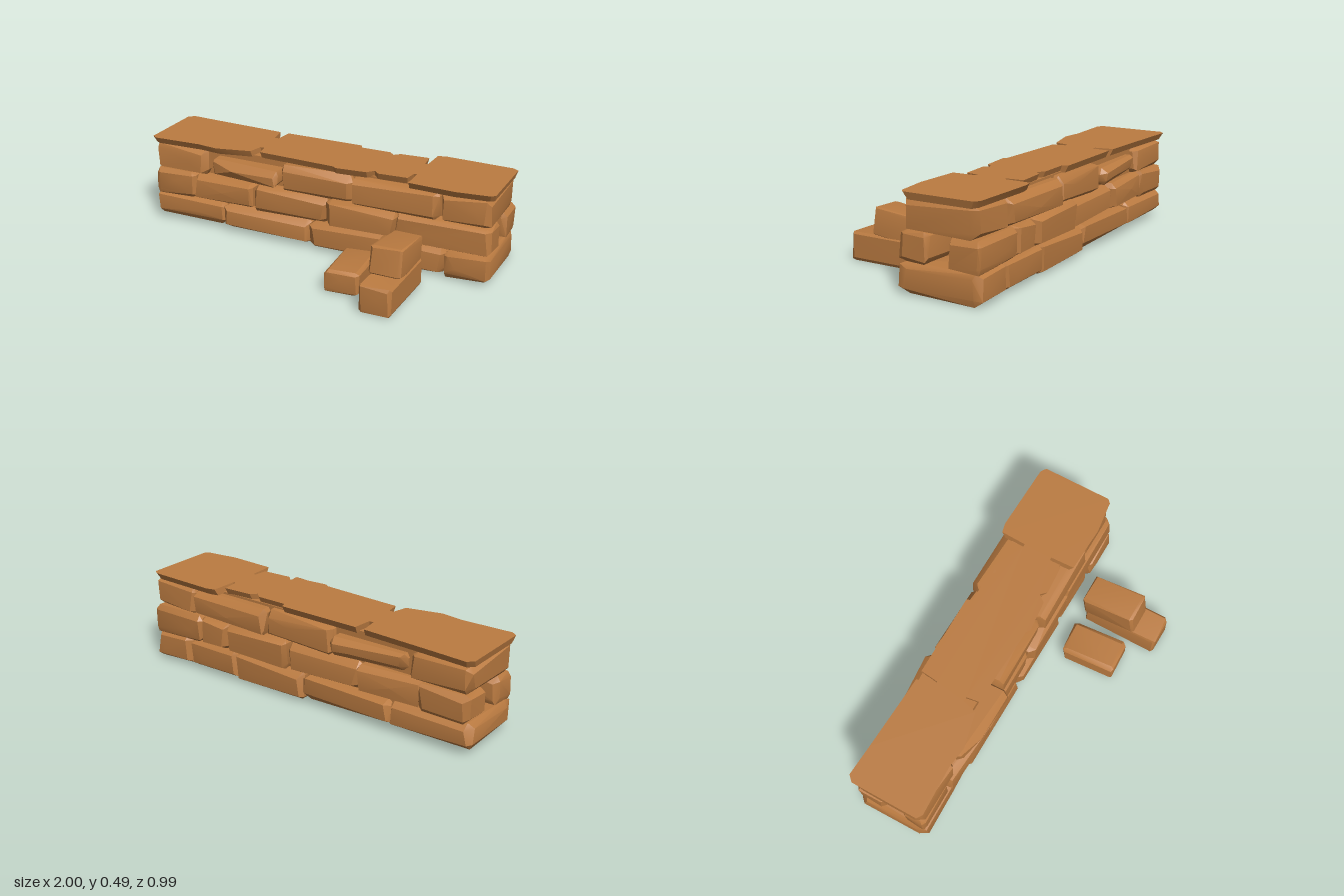
import * as THREE from 'three';
import { ConvexGeometry } from 'three/addons/geometries/ConvexGeometry.js';
import { toCreasedNormals } from 'three/addons/utils/BufferGeometryUtils.js';

const sandstone = new THREE.MeshStandardMaterial({ color: 0xbb7b41 });
sandstone.name = 'sandstone';

// Small seeded generator, 0..1
let seed = 7;
const rand = () => (seed = (seed * 16807) % 2147483647) / 2147483647;

// Rough-hewn stone: a box with uneven chamfers and bulging long sides;
// cut is the chamfer along x, y, z and flare deepens the stone towards +x
function stone(name, [x0, x1, y0, y1, z0, z1, flare = 0], cut) {
  const c = [(x0 + x1) / 2, (y0 + y1) / 2, (z0 + z1) / 2];
  const h = [(x1 - x0) / 2, (y1 - y0) / 2, (z1 - z0) / 2];
  const points = [];
  for (const sx of [-1, 1]) for (const sy of [-1, 1]) for (const sz of [-1, 1]) {
    const s = [sx, sy, sz];
    for (let face = 0; face < 3; face++) {
      const p = s.map((sign, i) => {
        const inset = i === face ? rand() * cut[i] * 0.2 : cut[i] * (0.35 + 0.65 * rand());
        const size = i === 2 ? h[i] * (1 + flare * (sx - 1)) : h[i];
        return c[i] + sign * (size - inset);
      });
      points.push(new THREE.Vector3(...p));
    }
  }
  for (const sz of [-1, 1]) {
    const x = c[0] + h[0] * (rand() - 0.5), y = c[1] + h[1] * (rand() - 0.5) * 0.6;
    points.push(new THREE.Vector3(x, y, c[2] + sz * h[2] * (1 - flare * 0.6)));
  }
  const mesh = new THREE.Mesh(toCreasedNormals(new ConvexGeometry(points), 0.45), sandstone);
  mesh.name = name;
  return mesh;
}

export function createModel() {
  seed = 7;
  const model = new THREE.Group();
  model.name = 'ruinedStoneWall';

  // Courses of the wall, each stone as [x0, x1, y0, y1, back z, front z, flare]
  const courses = {
    bottomCourse: [
      [-1, -0.54, 0.025, 0.165, -0.465, -0.055],
      [-0.55, -0.01, 0.018, 0.16, -0.465, -0.045],
      [-0.02, 0.43, 0, 0.165, -0.475, -0.035],
      [0.42, 0.76, 0, 0.16, -0.48, -0.04],
      [0.75, 1, 0, 0.16, -0.487, -0.02],
    ],
    middleCourse: [
      [-0.99, -0.73, 0.155, 0.31, -0.2, -0.055],
      [-0.99, -0.7, 0.155, 0.31, -0.465, -0.29],
      [-0.74, -0.35, 0.16, 0.31, -0.48, -0.02, 0.05],
      [-0.36, 0.09, 0.15, 0.31, -0.46, -0.045],
      [0.08, 0.49, 0.15, 0.315, -0.485, -0.02],
      [0.48, 1, 0.15, 0.31, -0.195, -0.03],
      [0.66, 1, 0.15, 0.31, -0.48, -0.3],
      [0.48, 0.68, 0.15, 0.31, -0.48, -0.19],
    ],
    upperCourse: [
      [-0.99, -0.65, 0.3, 0.455, -0.46, -0.055],
      [-0.63, -0.19, 0.32, 0.425, -0.495, -0.002, 0.08],
      [-0.2, 0.23, 0.295, 0.455, -0.465, -0.05],
      [0.22, 0.72, 0.3, 0.455, -0.485, -0.03],
      [0.71, 0.99, 0.3, 0.465, -0.467, -0.048],
    ],
  };
  for (const [name, stones] of Object.entries(courses)) {
    const group = new THREE.Group();
    group.name = name;
    stones.forEach((s, i) => {
      const thin = s[5] - s[4] < 0.2;
      group.add(stone('stone' + (i + 1), s, [0.04, 0.042, thin ? 0.035 : 0.06]));
    });
    model.add(group);
  }

  // Rubble core that closes the joints and ends behind the end recesses
  const core = new THREE.Mesh(new THREE.BoxGeometry(1.6, 0.41, 0.29), sandstone);
  core.name = 'rubbleCore';
  core.position.set(0, 0.255, -0.26);
  model.add(core);

  // Flat capping with notched joints; its underside tapers inwards
  const front = [[-1, -0.07], [-0.97, -0.05], [-0.7, -0.06], [-0.58, -0.045], [-0.39, -0.09],
    [-0.37, -0.17], [-0.345, -0.17], [-0.335, -0.1], [-0.1, -0.09], [0.11, -0.08], [0.13, -0.065],
    [0.3, -0.08], [0.33, -0.12], [0.36, -0.09], [0.52, -0.1], [0.53, -0.17], [0.545, -0.17],
    [0.55, -0.04], [0.8, -0.028], [0.98, -0.05], [1, -0.07]];
  const back = [[1, -0.45], [0.97, -0.47], [0.6, -0.482], [0.55, -0.47], [0.545, -0.33],
    [0.53, -0.33], [0.52, -0.42], [0.36, -0.41], [0.33, -0.38], [0.3, -0.41], [0.13, -0.41],
    [0.12, -0.44], [-0.335, -0.44], [-0.345, -0.34], [-0.37, -0.34], [-0.385, -0.44],
    [-0.6, -0.45], [-0.8, -0.46], [-0.97, -0.47], [-1, -0.44]];
  const outline = new THREE.Shape([...front, ...back].map(([x, z]) => new THREE.Vector2(x, -z)));
  const capGeometry = new THREE.ExtrudeGeometry(outline, { depth: 0.037, bevelEnabled: false });
  capGeometry.rotateX(-Math.PI / 2);
  const p = capGeometry.attributes.position;
  for (let i = 0; i < p.count; i++) {
    if (p.getY(i) > 0.01) continue;
    p.setX(i, p.getX(i) * 0.99);
    p.setZ(i, -0.26 + (p.getZ(i) + 0.26) * 0.9);
  }
  const cap = new THREE.Mesh(toCreasedNormals(capGeometry, 0.5), sandstone);
  cap.name = 'capping';
  cap.position.y = 0.453;
  model.add(cap);

  // Fallen blocks in front, the upper one leaning back on the lower
  const fallen = new THREE.Group();
  fallen.name = 'fallenBlocks';
  const chamfer = [0.022, 0.02, 0.02];
  const small = stone('smallBlock', [-0.097, 0.097, 0, 0.125, -0.155, 0.155], [0.03, 0.03, 0.03]);
  small.position.set(0.35, 0, 0.212);
  small.rotation.y = 0.06;
  const upper = stone('leaningBlock', [-0.087, 0.087, -0.078, 0.076, -0.152, 0.152], chamfer);
  upper.position.set(0.592, 0.205, 0.206);
  upper.rotation.x = -0.14;
  const lower = stone('lowerBlock', [0.51, 0.685, 0, 0.152, 0.07, 0.497], chamfer);
  fallen.add(small, upper, lower);
  model.add(fallen);

  return model;
}
